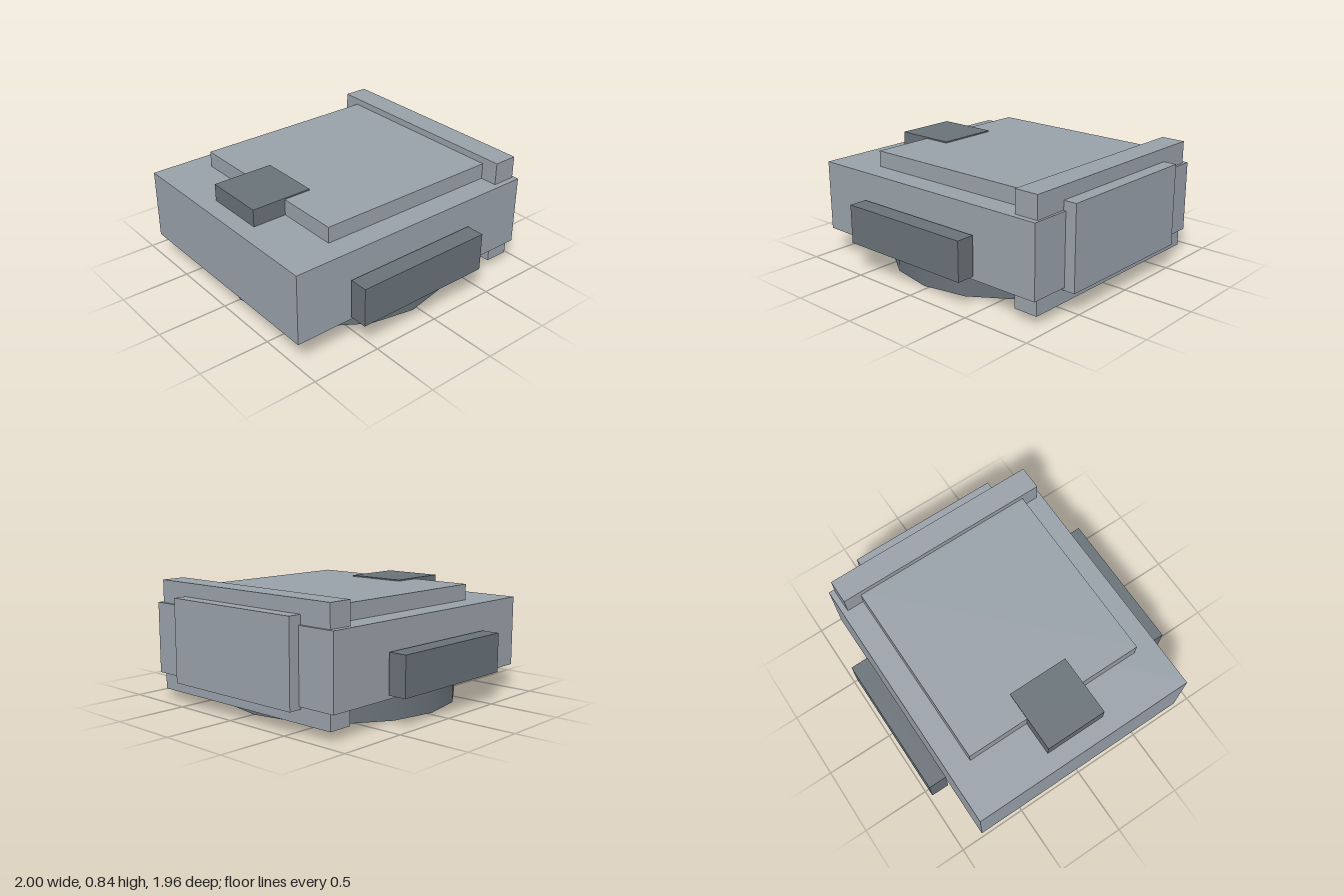
import * as THREE from 'three';

export function createModel() {
  const model = new THREE.Group();
  const lightGrey = new THREE.MeshStandardMaterial({ color: 0x99a1a9 });
  lightGrey.name = 'light grey';
  const darkGrey = new THREE.MeshStandardMaterial({ color: 0x697278, side: THREE.DoubleSide });
  darkGrey.name = 'dark grey';

  const add = (name, geometry, material, x, y, z) => {
    const mesh = new THREE.Mesh(geometry, material);
    mesh.name = name;
    mesh.position.set(x, y, z);
    model.add(mesh);
  };
  // Box given by its x, y and z limits
  const box = (name, material, [x0, x1], [y0, y1], [z0, z1]) =>
    add(name, new THREE.BoxGeometry(x1 - x0, y1 - y0, z1 - z0), material,
      (x0 + x1) / 2, (y0 + y1) / 2, (z0 + z1) / 2);

  // Main block with the raised deck on top
  box('body', lightGrey, [-1, 0.922], [0.178, 0.68], [-0.837, 0.837]);
  box('topDeck', lightGrey, [-0.63, 0.75], [0.66, 0.793], [-0.672, 0.672]);

  // Small dark hatch overlapping the deck edge
  box('topHatch', darkGrey, [-0.875, -0.43], [0.66, 0.802], [-0.223, 0.223]);

  // Upright slab through the body, with a plate on its outer face
  box('endSlab', lightGrey, [0.73, 0.905], [0.064, 0.84], [-0.797, 0.797]);
  box('endPlate', lightGrey, [0.9, 1], [0.158, 0.744], [-0.552, 0.552]);

  // Side panels standing just clear of the body
  box('frontPanel', darkGrey, [-0.593, 0.43], [0.208, 0.484], [0.85, 0.981]);
  box('backPanel', darkGrey, [-0.593, 0.43], [0.208, 0.484], [-0.981, -0.85]);

  // Round skirt, open below
  add('baseRing', new THREE.CylinderGeometry(0.836, 0.836, 0.18, 16, 1, true), darkGrey, -0.039, 0.09, 0);

  return model;
}
